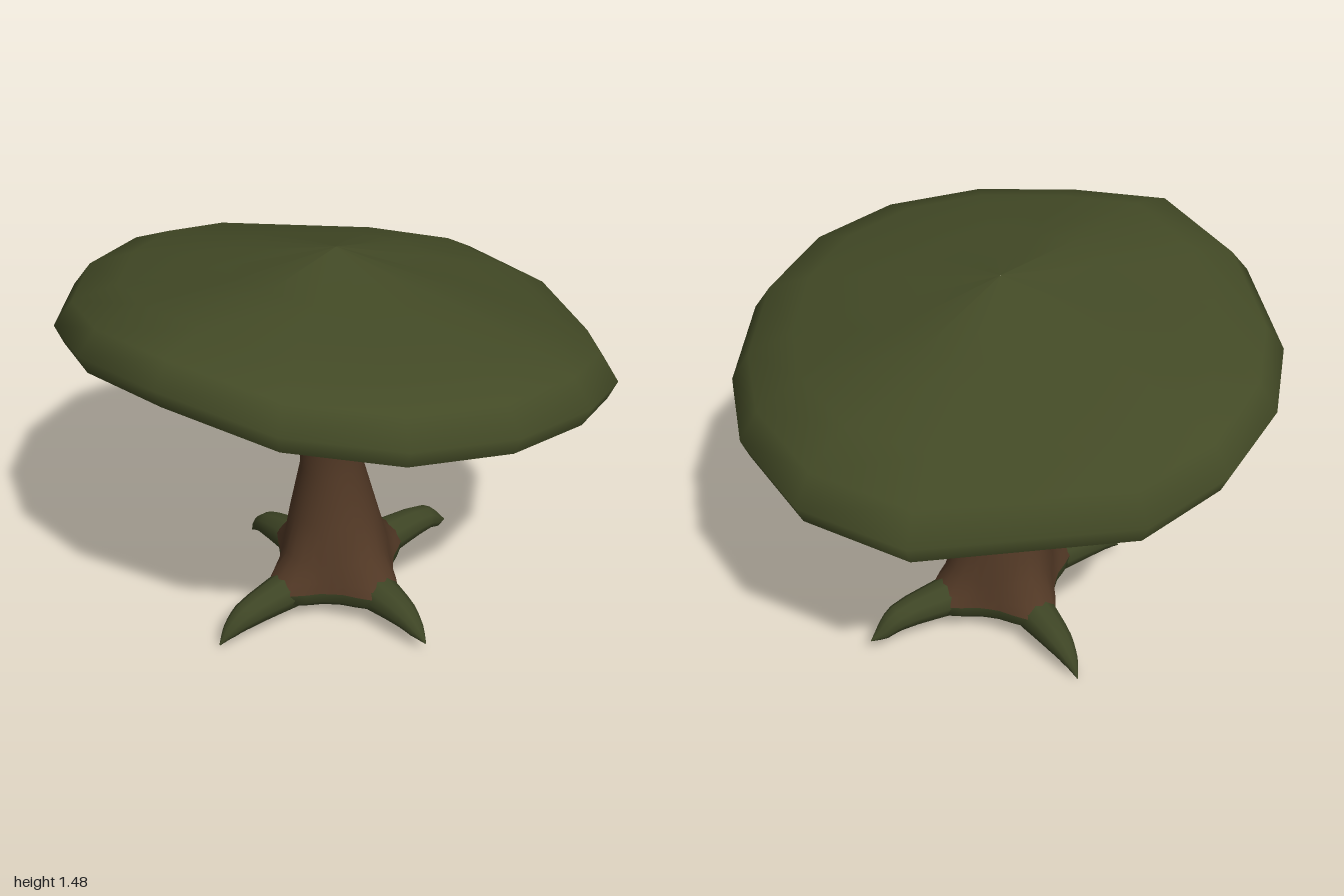
import * as THREE from 'three';

const mat = (name, color) => {
  const m = new THREE.MeshStandardMaterial({ color });
  m.name = name;
  return m;
};

// Skin a list of equal-length point rings, ordered from low to high
function loft(rings) {
  const n = rings[0].length, pos = [], index = [];
  rings.forEach(r => r.forEach(p => pos.push(p.x, p.y, p.z)));
  for (let i = 0; i < rings.length - 1; i++) {
    for (let j = 0; j < n; j++) {
      const k = (j + 1) % n;
      const a = i * n + j, b = a + n, c = i * n + k, d = c + n;
      index.push(a, b, c, c, b, d);
    }
  }
  const g = new THREE.BufferGeometry();
  g.setAttribute('position', new THREE.Float32BufferAttribute(pos, 3));
  g.setIndex(index);
  g.computeVertexNormals();
  return g;
}

// Tapered limb along a smooth path, one radius per path point
function limb(points, radii, steps = 12, sides = 10) {
  const curve = new THREE.CatmullRomCurve3(points.map(p => new THREE.Vector3(...p)));
  const up = new THREE.Vector3(0, 1, 0), rings = [];
  for (let i = 0; i <= steps; i++) {
    const t = i / steps, f = t * (radii.length - 1), k = Math.min(Math.floor(f), radii.length - 2);
    const r = THREE.MathUtils.lerp(radii[k], radii[k + 1], f - k);
    const c = curve.getPoint(t), T = curve.getTangent(t);
    const N = new THREE.Vector3().crossVectors(up, T).normalize();
    const B = new THREE.Vector3().crossVectors(N, T);
    rings.push(Array.from({ length: sides }, (_, j) => {
      const a = j / sides * Math.PI * 2;
      return c.clone().addScaledVector(N, r * Math.cos(a)).addScaledVector(B, r * Math.sin(a));
    }));
  }
  return loft(rings);
}

// Trunk ring: height, centre, radius, and how far it swells toward the four roots
function trunkRing([y, x, z, r, swell = 0]) {
  return Array.from({ length: 32 }, (_, j) => {
    const a = j / 32 * Math.PI * 2;
    const R = r + swell * Math.pow((1 + Math.cos(4 * a)) / 2, 1.5);
    return new THREE.Vector3(x + R * Math.cos(a), y, z + R * Math.sin(a));
  });
}

export function createModel() {
  const model = new THREE.Group();
  const leaf = mat('leafGreen', 0x434a26);
  const bark = mat('barkBrown', 0x513825);
  const moss = mat('mossGreen', 0x3e4525);
  const add = (name, geometry, material) => {
    const m = new THREE.Mesh(geometry, material);
    m.name = name;
    model.add(m);
  };

  // Canopy rim: x, z and height of the lower lip, going round from the left side
  const rim = [
    [1.0, 0.1, 1.15], [0.87, 0.45, 1.18], [0.59, 0.74, 1.22], [0.22, 0.93, 1.29],
    [-0.2, 0.94, 1.24], [-0.58, 0.8, 1.15], [-0.84, 0.55, 1.13], [-0.99, 0.23, 1.09],
    [-1.0, -0.1, 1.03], [-0.6, -0.74, 0.95], [-0.23, -0.94, 0.96], [0.2, -0.93, 0.96],
    [0.58, -0.78, 0.945], [0.84, -0.55, 1.04], [0.98, -0.25, 1.11],
  ];
  // Each ring: scale of the rim, lift above the lip, and blend toward a peak height
  const canopyRing = (s, lift, blend, peak) => rim.map(([x, z, y]) =>
    new THREE.Vector3(x * s, y + lift + blend * (peak - y - lift), z * s));
  add('canopyTop', loft([
    canopyRing(0.97, 0, 0, 0), canopyRing(1, 0.07, 0, 0),
    canopyRing(0.93, 0.145, 0.09, 1.48), canopyRing(0.76, 0.19, 0.26, 1.48),
    canopyRing(0.4, 0.13, 0.68, 1.49), canopyRing(0.001, 0, 1, 1.485),
  ]), leaf);
  add('canopyUnderside', loft([
    canopyRing(0.001, 0, 1, 1.25), canopyRing(0.5, 0, 0.62, 1.25), canopyRing(0.97, 0, 0, 0),
  ]), leaf);

  // Trunk, flaring at the base
  add('trunk', loft([
    [0.15, 0, 0, 0.22, 0.1], [0.19, 0, 0, 0.21, 0.08], [0.26, -0.005, 0, 0.197, 0.015],
    [0.4, -0.015, 0, 0.165], [0.59, -0.025, 0, 0.119], [0.75, -0.015, 0.008, 0.12],
    [0.9, -0.015, 0.01, 0.12], [1.03, -0.01, 0, 0.123], [1.14, 0, -0.012, 0.127],
    [1.23, 0.015, -0.012, 0.14], [1.3, 0.015, -0.01, 0.12],
  ].map(trunkRing)), bark);
  add('mossyBase', loft([
    [0.1, 0, 0, 0.001], [0.08, 0, 0, 0.19, 0.08], [0.11, 0, 0, 0.215, 0.1], [0.15, 0, 0, 0.22, 0.1],
  ].map(trunkRing)), moss);

  // Roots: direction x, z, tip height, knuckle lift
  const roots = {
    leftRoot: [1, 0, 0.05, 0.015, 0.51], rightRoot: [-1, 0, 0.01, 0, 0.53],
    frontRoot: [0, 1, 0.03, 0.005, 0.57], backRoot: [0, -1, 0.08, 0.04, 0.58],
  };
  for (const [name, [dx, dz, tip, lift, reach]] of Object.entries(roots)) {
    const path = [[0.1, 0.14], [0.26, 0.125 + lift / 2], [reach - 0.12, 0.1 + lift],
      [reach - 0.05, 0.06 + (tip + lift) / 3], [reach, tip]];
    add(name, limb(path.map(([u, y]) => [u * dx, y, u * dz]), [0.09, 0.075, 0.052, 0.03, 0.002]), moss);
  }

  // Branches spreading under the canopy
  const branches = {
    leftBranch: [[[0, 1.17, -0.01], [0.16, 1.2, -0.04], [0.4, 1.175, -0.09], [0.77, 1.14, -0.15]],
      [0.09, 0.07, 0.045, 0.006]],
    rightBranch: [[[0, 1.13, 0], [-0.25, 1.14, 0.07], [-0.45, 1.09, 0.16], [-0.6, 1.085, 0.22], [-0.72, 1.13, 0.26]],
      [0.08, 0.055, 0.04, 0.036, 0.008]],
    frontBranch: [[[0, 1.12, 0], [0.06, 1.18, 0.18], [0.1, 1.2, 0.36], [0.1, 1.24, 0.5], [0.16, 1.25, 0.53]],
      [0.09, 0.06, 0.045, 0.038, 0.008]],
    backBranch: [[[0, 1.12, 0], [-0.07, 1.1, -0.2], [-0.17, 1.01, -0.36], [-0.16, 1.0, -0.47], [-0.08, 1.03, -0.58]],
      [0.09, 0.06, 0.04, 0.036, 0.008]],
  };
  for (const [name, [path, radii]] of Object.entries(branches)) add(name, limb(path, radii), bark);

  return model;
}
